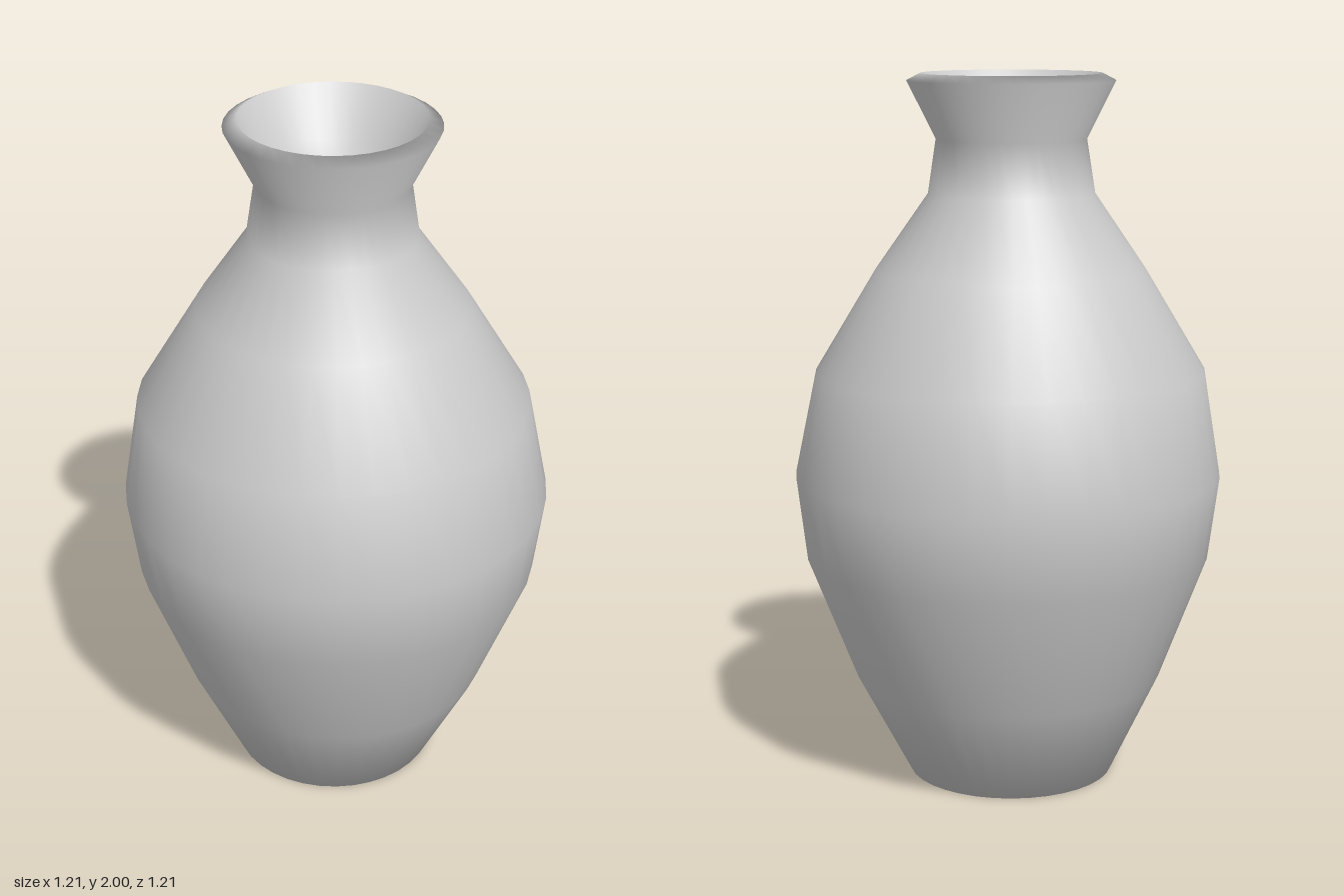
import * as THREE from 'three';

// Profile rings: [radius, height, sideways drift of the ring centre]
const RINGS = [
  [0, 0, -0.013],
  [0.293, 0, -0.013],       // foot
  [0.437, 0.29, -0.003],
  [0.573, 0.645, 0],
  [0.603, 0.88, -0.002],    // belly
  [0.549, 1.175, -0.012],
  [0.378, 1.46, -0.013],    // shoulder
  [0.233, 1.67, -0.016],
  [0.21, 1.82, -0.015],     // neck
  [0.29, 1.98, -0.015],     // lip
  [0.252, 2, -0.015],
  [0.19, 1.86, -0.015],     // hollow of the mouth
  [0.1, 1.78, -0.015],
  [0, 1.76, -0.015],
];

export function createModel() {
  const group = new THREE.Group();
  group.name = 'vase';

  const profile = RINGS.map(([r, y]) => new THREE.Vector2(r, y));
  const geometry = new THREE.LatheGeometry(profile, 36);

  // Shift each ring slightly for the hand-thrown, off-centre shape
  const pos = geometry.attributes.position;
  for (let i = 0; i < pos.count; i++) {
    pos.setX(i, pos.getX(i) + RINGS[i % RINGS.length][2]);
  }

  const body = new THREE.Mesh(
    geometry,
    new THREE.MeshStandardMaterial({ color: 0xcccccc, side: THREE.DoubleSide })
  );
  body.name = 'vaseBody';
  group.add(body);
  return group;
}
